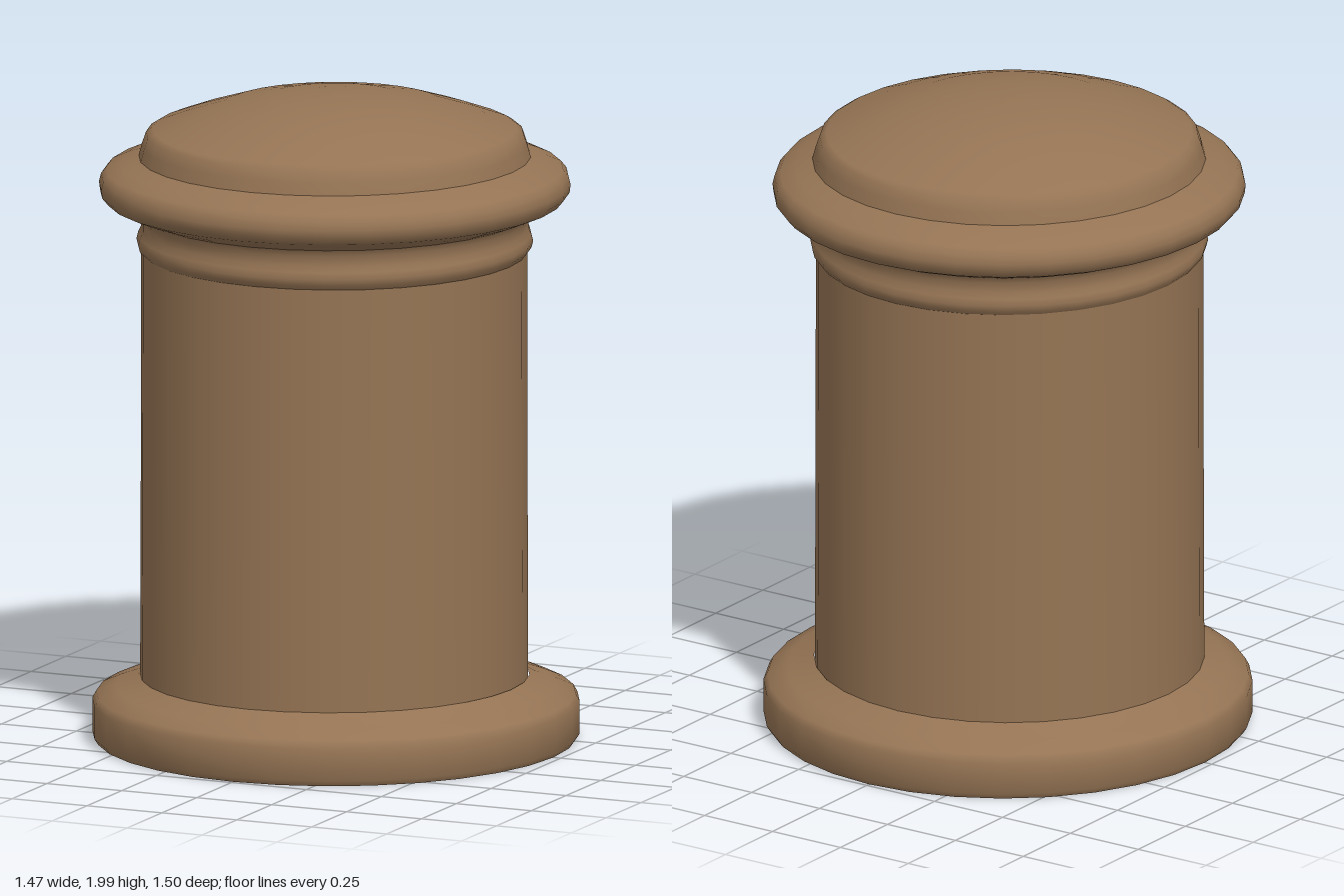
import * as THREE from 'three';
import { toCreasedNormals } from 'three/addons/utils/BufferGeometryUtils.js';

const SIDES = 32;

export function createModel() {
  const model = new THREE.Group();
  model.name = 'column';
  const clay = new THREE.MeshStandardMaterial({ color: 0x957454 });
  clay.name = 'brown clay';

  // Turned part from a bottom-to-top [radius, height] profile, slightly deeper than wide
  function turned(name, profile, offsetX, crease) {
    const points = profile.map(([r, y]) => new THREE.Vector2(r, y));
    const geometry = new THREE.LatheGeometry(points, SIDES);
    geometry.scale(1, 1, 1.018);
    const mesh = new THREE.Mesh(crease ? toCreasedNormals(geometry, crease) : geometry, clay);
    mesh.name = name;
    mesh.position.x = offsetX;
    model.add(mesh);
  }

  // Flat underside
  turned('underside', [[0, 0.008], [0.725, 0.008]], 0);

  // Round plinth with a sloping shoulder
  turned('base', [
    [0.725, 0.008], [0.736, 0.025], [0.736, 0.125], [0.724, 0.147],
    [0.665, 0.172], [0.61, 0.192], [0.584, 0.205],
  ], 0, 0.7);

  // Plain shaft
  turned('shaft', [[0.586, 0.19], [0.584, 0.85], [0.583, 1.52]], -0.006);

  // Small collar ring under the rim
  turned('collar', [
    [0.578, 1.505], [0.594, 1.525], [0.599, 1.545], [0.594, 1.565],
    [0.585, 1.585], [0.585, 1.615], [0.597, 1.635],
  ], -0.004);

  // Wide rounded rim
  turned('rim', [
    [0.597, 1.635], [0.645, 1.653], [0.69, 1.672], [0.709, 1.695],
    [0.712, 1.72], [0.706, 1.745], [0.69, 1.765], [0.645, 1.785], [0.592, 1.803],
  ], -0.004);

  // Domed cap
  turned('cap', [
    [0.592, 1.803], [0.582, 1.84], [0.57, 1.875], [0.55, 1.888], [0.45, 1.925],
    [0.33, 1.963], [0.2, 1.987], [0.1, 1.997], [0, 2],
  ], -0.004);

  return model;
}
